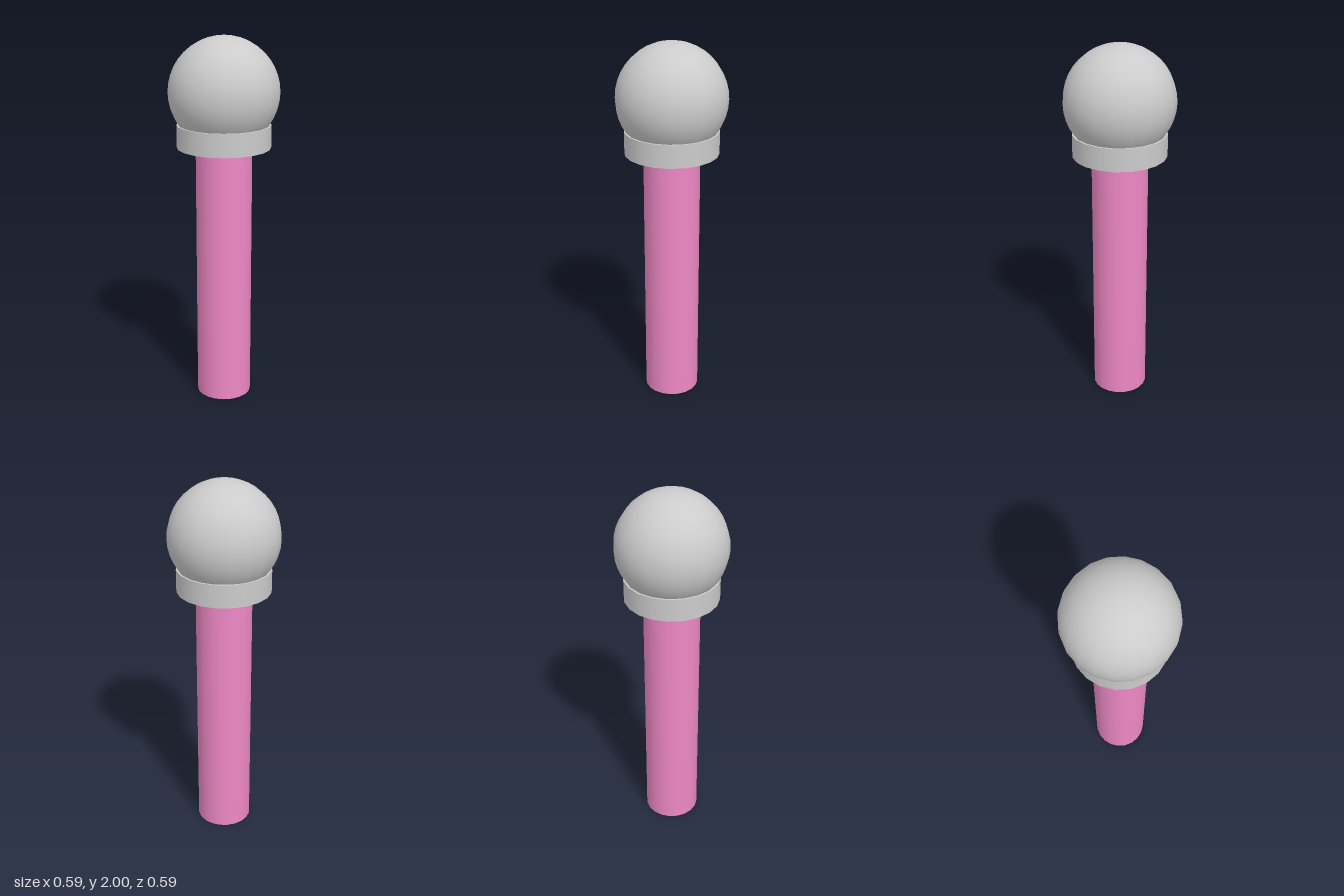
import * as THREE from 'three';

const SIDES = 20;

export function createModel() {
  const group = new THREE.Group();
  const grey = new THREE.MeshStandardMaterial({ color: 0xcccccc });
  const pink = new THREE.MeshStandardMaterial({ color: 0xee88c6 });

  const add = (name, geometry, material, y) => {
    const mesh = new THREE.Mesh(geometry, material);
    mesh.name = name;
    mesh.position.y = y;
    group.add(mesh);
  };
  const cylinder = (radius, height) => new THREE.CylinderGeometry(radius, radius, height, SIDES);

  // Upright post, standing on the ground and meeting the collar
  add('post', cylinder(0.15, 1.417), pink, 1.417 / 2);

  // Flat collar that seats the ball
  add('collar', cylinder(0.25, 0.123), grey, 1.417 + 0.123 / 2);

  // Ball on top
  add('ball', new THREE.SphereGeometry(0.293, SIDES, SIDES), grey, 1.707);

  return group;
}
